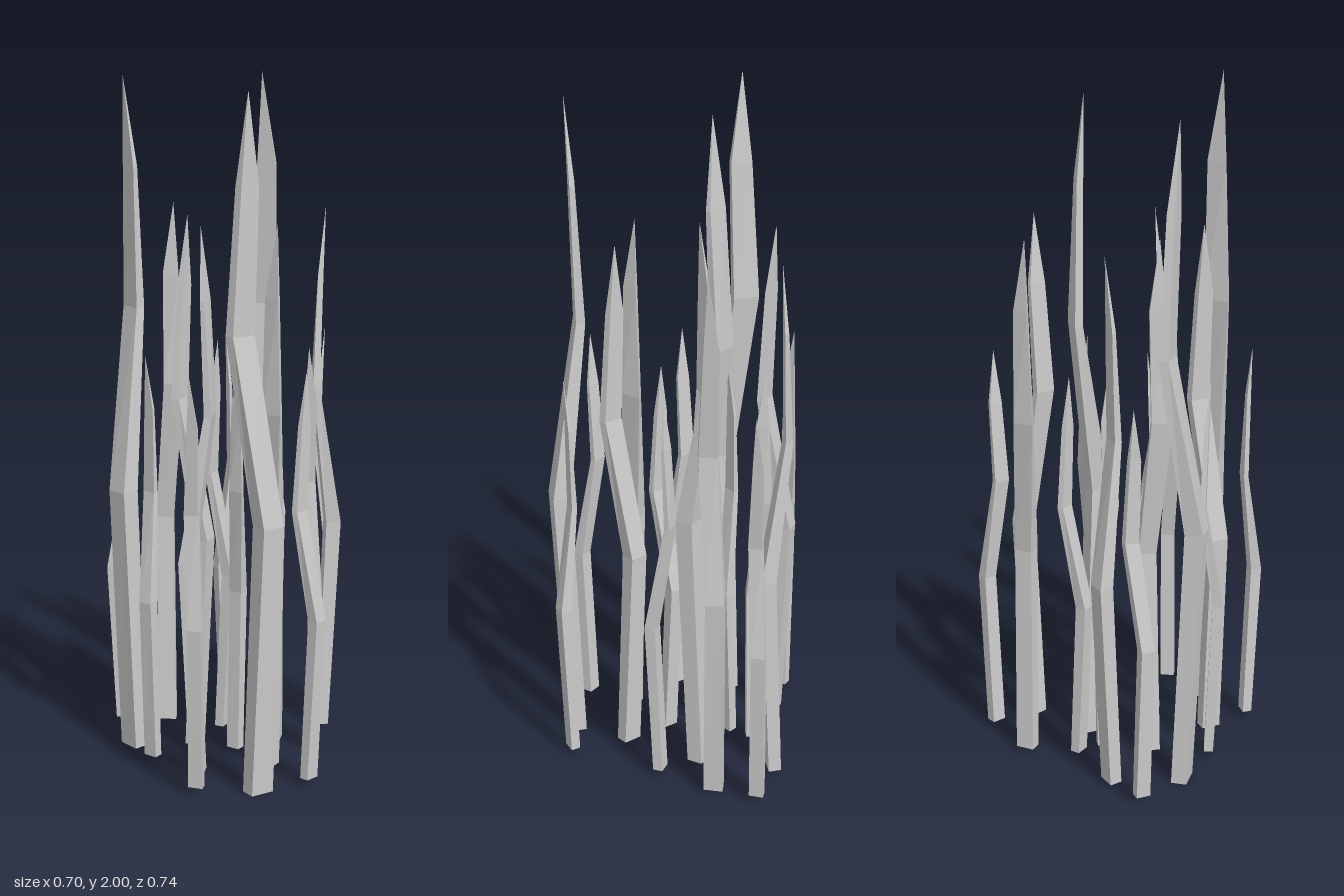
import * as THREE from 'three';

// Cross-sections of one blade, bottom to top: height, then four [x, z] corners
const SECTIONS = [
  [0.0, [[-0.03, -0.013], [0.027, -0.05], [0.055, -0.012], [-0.005, 0.025]]],
  [0.8, [[-0.005, 0.01], [0.05, -0.025], [0.08, 0.018], [0.025, 0.055]]],
  [1.33, [[-0.08, -0.018], [-0.013, -0.055], [0.0, -0.032], [-0.06, 0.0]]],
  [1.74, [[-0.054, -0.015], [0.002, -0.037], [0.01, -0.025], [-0.038, 0.0]]],
];
const TIP = [-0.02, 2, 0];

// Blades: x, z, turn in degrees, scale
const BLADES = [
  [-0.282, -0.068, 83, 1], [0.122, -0.111, 47, 1], [0.08, 0.315, 0, 1],
  [0.126, -0.325, 3, 0.8], [0.302, -0.189, -65, 0.8], [-0.158, -0.244, -143, 0.8],
  [-0.09, -0.03, -31, 0.8], [0.139, 0.126, -115, 0.8], [-0.078, 0.169, 134, 0.8],
  [0.31, -0.326, -60, 0.6], [-0.309, -0.241, 134, 0.6], [0.004, -0.242, 101, 0.6],
  [-0.007, -0.142, -29, 0.6], [0.253, -0.024, 37, 0.6], [0.041, 0.031, -112, 0.6],
  [-0.22, 0.08, 70, 0.6], [-0.093, 0.319, 50, 0.6], [0.234, 0.268, -13, 0.6],
];

function bladeGeometry() {
  const positions = [];
  const index = [];
  for (const [y, corners] of SECTIONS) {
    for (const [x, z] of corners) positions.push(x, y, z);
  }
  positions.push(...TIP);
  const tip = SECTIONS.length * 4;

  // Base cap
  index.push(0, 1, 2, 0, 2, 3);
  for (let i = 0; i < 4; i++) {
    const j = (i + 1) % 4;
    // Sides between neighbouring sections
    for (let s = 0; s < SECTIONS.length - 1; s++) {
      const a = s * 4 + j, b = s * 4 + i;
      index.push(a, b, b + 4, a, b + 4, a + 4);
    }
    // Point
    index.push(tip - 4 + j, tip - 4 + i, tip);
  }

  const geometry = new THREE.BufferGeometry();
  geometry.setAttribute('position', new THREE.Float32BufferAttribute(positions, 3));
  geometry.setIndex(index);
  const flat = geometry.toNonIndexed();
  flat.computeVertexNormals();
  return flat;
}

export function createModel() {
  const group = new THREE.Group();
  group.name = 'grassTuft';
  const material = new THREE.MeshStandardMaterial({ color: 0xcccccc, flatShading: true });
  material.name = 'lightGrey';
  const geometry = bladeGeometry();

  BLADES.forEach(([x, z, turn, scale], i) => {
    const blade = new THREE.Mesh(geometry, material);
    blade.name = `blade${i + 1}`;
    blade.position.set(x, (1 - scale) * 0.06, z);
    blade.rotation.y = -THREE.MathUtils.degToRad(turn);
    blade.scale.setScalar(scale);
    group.add(blade);
  });
  return group;
}
